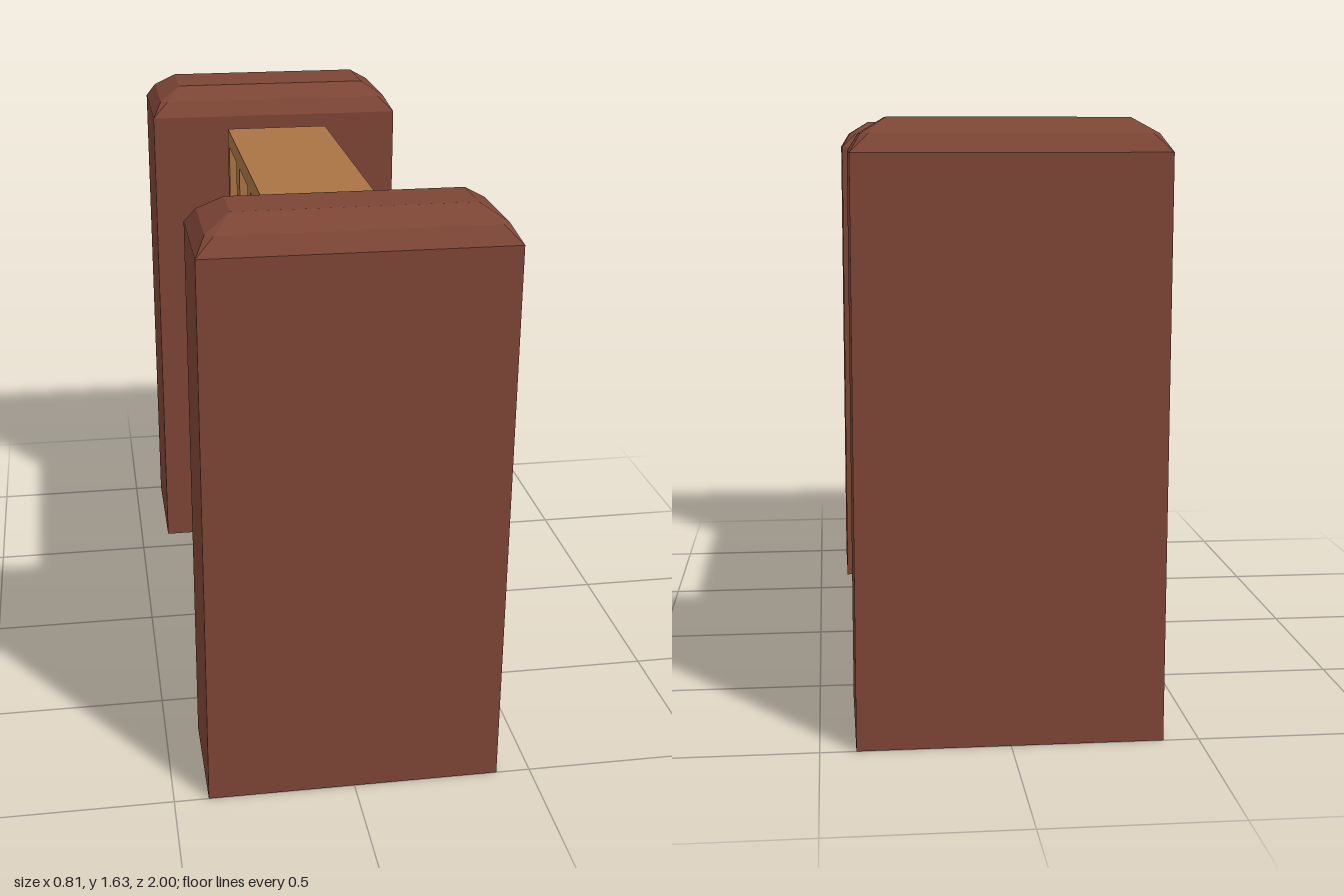
import * as THREE from 'three';

const mat = (color, flatShading = true) => new THREE.MeshStandardMaterial({ color, flatShading });

function addMesh(parent, name, geometry, material, x = 0, y = 0, z = 0) {
  const mesh = new THREE.Mesh(geometry, material);
  mesh.name = name;
  mesh.position.set(x, y, z);
  parent.add(mesh);
  return mesh;
}

// Rectangular block with a stepped bevel around the top; levels are [y, inset, corner cut]
function postGeometry(halfX, halfZ) {
  const levels = [[0, 0, 0], [1.54, 0, 0], [1.587, 0.028, 0.02], [1.628, 0.095, 0]];
  const rings = levels.map(([y, inset, c]) => {
    const a = halfX - inset, b = halfZ - inset;
    return [[a, c - b], [a, b - c], [a - c, b], [c - a, b], [-a, b - c], [-a, c - b], [c - a, -b], [a - c, -b]]
      .map(([x, z]) => [x, y, z]);
  });
  const pos = [];
  const tri = (...p) => p.forEach((v) => pos.push(...v));
  for (let l = 0; l < rings.length - 1; l++) {
    for (let i = 0; i < 8; i++) {
      const j = (i + 1) % 8;
      const [a, b, c, d] = [rings[l][i], rings[l][j], rings[l + 1][j], rings[l + 1][i]];
      tri(a, c, b);
      tri(a, d, c);
    }
  }
  const top = rings[rings.length - 1], base = rings[0];
  for (let i = 1; i < 7; i++) {
    tri(top[0], top[i + 1], top[i]);
    tri(base[0], base[i], base[i + 1]);
  }
  const g = new THREE.BufferGeometry();
  g.setAttribute('position', new THREE.Float32BufferAttribute(pos, 3));
  g.computeVertexNormals();
  return g;
}

// Closed outline from [z, y] points, laid out for extrusion along x
const outline = (points, Type = THREE.Shape) => new Type(points.map(([z, y]) => new THREE.Vector2(-z, y)));
const rect = (z0, z1, y0, y1) => [[z0, y0], [z1, y0], [z1, y1], [z0, y1]];

function extrudeX(shape, x0, x1, bevel = 0) {
  const g = new THREE.ExtrudeGeometry(shape, {
    depth: x1 - x0 - 2 * bevel, bevelEnabled: bevel > 0,
    bevelSize: bevel, bevelThickness: bevel, bevelOffset: -bevel, bevelSegments: 2,
  });
  return g.rotateY(Math.PI / 2).translate(x0 + bevel, 0, 0);
}

export function createModel() {
  const group = new THREE.Group();
  const postMat = mat(0x7c4535), wood = mat(0xa87344), band = mat(0xb85a22);
  const iron = mat(0x5c5c5c), ironSmooth = mat(0x5c5c5c, false);

  // Gate posts
  addMesh(group, 'frontPost', postGeometry(0.405, 0.169), postMat, 0, 0, 0.831);
  addMesh(group, 'backPost', postGeometry(0.405, 0.202), postMat, 0, 0, -0.798);

  // Thick door panel with four open windows
  const panel = outline(rect(0.63, -0.55, 0.085, 1.508));
  for (let i = 0; i < 4; i++) {
    const z = 0.588 - i * 0.2965;
    panel.holes.push(outline(rect(z, z - 0.21, 1.2, 1.455), THREE.Path));
  }
  addMesh(group, 'doorPanel', extrudeX(panel, -0.163, 0.163), wood);

  // Bands wrapped around the door, with slightly taller ends
  for (const [name, y] of [['lowerBand', 0.44], ['upperBand', 0.796]]) {
    const wrap = new THREE.Group();
    wrap.name = name;
    group.add(wrap);
    addMesh(wrap, 'bandStrip', new THREE.BoxGeometry(0.338, 0.06, 1.2), band, 0, y, 0.04);
    for (const z of [0.635, -0.556]) {
      addMesh(wrap, 'bandEnd', new THREE.BoxGeometry(0.332, 0.062, 0.02), band, 0, y, z);
    }
    for (const z of [0.628, -0.549]) {
      for (const x of [-0.163, 0.163]) {
        addMesh(wrap, 'bandCorner', new THREE.BoxGeometry(0.01, 0.078, 0.01), band, x, y, z);
      }
    }
  }

  // Hinge straps, flared where they meet the post
  for (const [name, y] of [['lowerHinge', 0.258], ['upperHinge', 1.03]]) {
    const strap = outline([
      [-0.305, y - 0.028], [-0.315, y - 0.038], [-0.555, y - 0.038], [-0.61, y - 0.062],
      [-0.61, y + 0.062], [-0.555, y + 0.038], [-0.315, y + 0.038], [-0.305, y + 0.028],
    ]);
    const g = extrudeX(strap, 0.157, 0.202, 0.009);
    // Thicken the strap towards the post
    const p = g.attributes.position;
    for (let i = 0; i < p.count; i++) {
      if (p.getZ(i) < -0.58) p.setX(i, 0.18 + (p.getX(i) - 0.18) * 1.3);
    }
    g.computeVertexNormals();
    addMesh(group, name, g, iron);
  }

  // Pull handle: rounded knob and hanging ring
  const handle = new THREE.Group();
  handle.name = 'handle';
  group.add(handle);
  const knob = new THREE.LatheGeometry(
    [[0, 0], [0.03, 0], [0.039, 0.014], [0.039, 0.038], [0.03, 0.052], [0, 0.056]]
      .map(([r, h]) => new THREE.Vector2(r, h)), 16);
  addMesh(handle, 'handleKnob', knob.rotateZ(-Math.PI / 2), ironSmooth, 0.16, 0.797, 0.466);
  const ring = new THREE.TorusGeometry(0.055, 0.014, 10, 28).rotateY(Math.PI / 2);
  addMesh(handle, 'handleRing', ring, ironSmooth, 0.181, 0.714, 0.466);

  return group;
}
